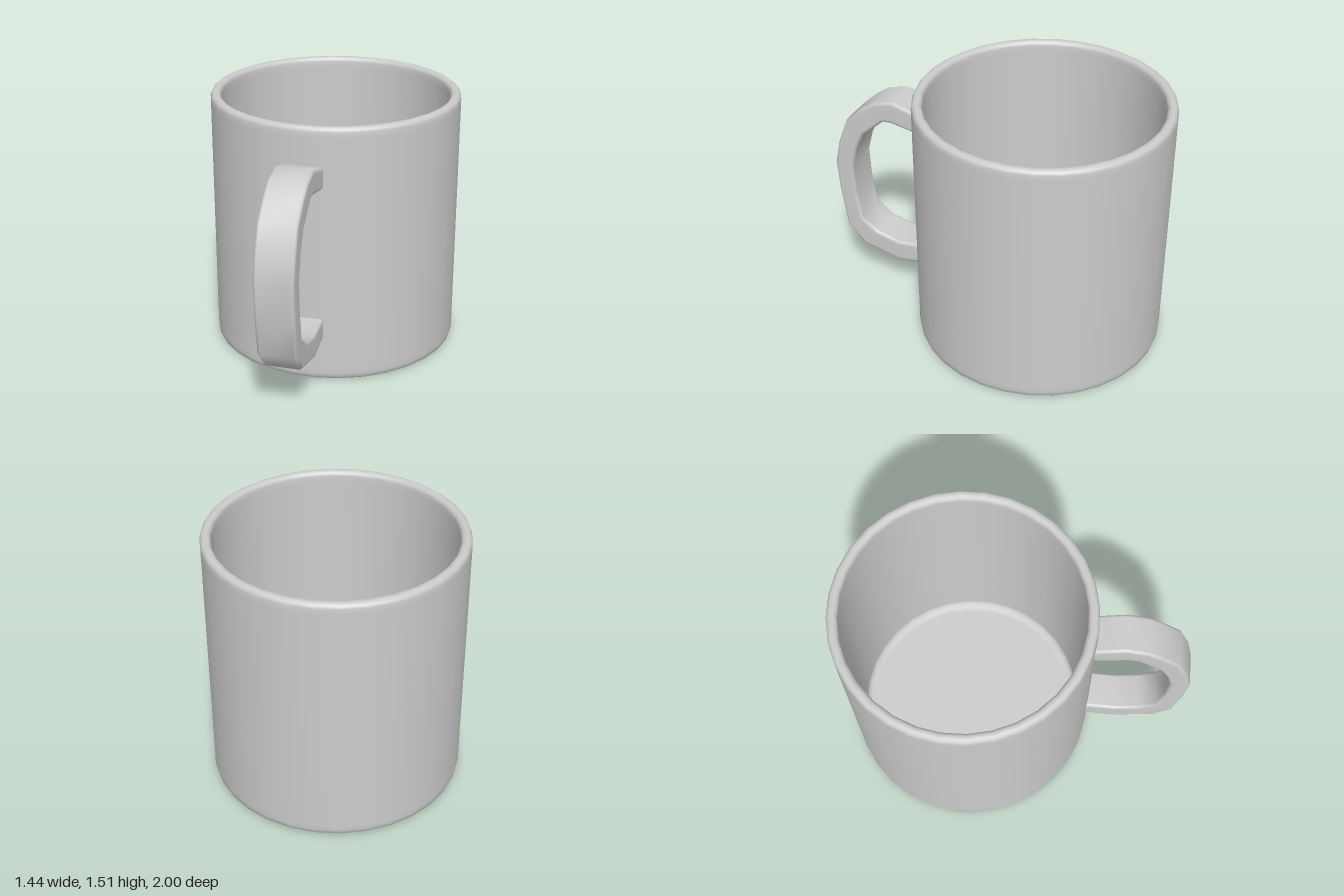
import * as THREE from 'three';

const material = new THREE.MeshStandardMaterial({ color: 0xcccccc });
const SIDES = 32;

// Hollow cup: one closed profile from the base centre, over the rim, to the inner floor
function makeCup() {
  const profile = [
    [0, 0], [0.69, 0], [0.705, 0.002], [0.718, 0.012], [0.723, 0.035], [0.723, 0.06],
    [0.723, 1.46], [0.723, 1.49], [0.717, 1.505], [0.703, 1.515], [0.682, 1.515],
    [0.668, 1.505], [0.663, 1.49], [0.663, 1.46],
    [0.663, 0.10], [0.657, 0.075], [0.635, 0.06], [0.6, 0.06], [0, 0.06],
  ].map(([r, y]) => new THREE.Vector2(r, y));
  const cup = new THREE.Mesh(new THREE.LatheGeometry(profile, SIDES, Math.PI / SIDES), material);
  cup.name = 'cup';
  cup.position.z = -0.28;
  return cup;
}

// Handle: a rounded rectangle swept through pairs of outer and inner points
function makeHandle() {
  // outer z, outer y, inner z, inner y
  const stations = [
    [0.41, 1.29, 0.41, 1.163], [0.60, 1.345, 0.62, 1.205], [0.72, 1.315, 0.67, 1.20],
    [0.80, 1.26, 0.73, 1.145], [0.91, 1.155, 0.80, 1.085], [0.97, 0.995, 0.85, 0.985],
    [1.00, 0.85, 0.885, 0.85], [0.985, 0.65, 0.877, 0.67], [0.947, 0.406, 0.845, 0.476],
    [0.85, 0.294, 0.743, 0.406], [0.60, 0.23, 0.60, 0.37], [0.41, 0.262, 0.41, 0.393],
  ];
  // Ring of [x, share of the way from the inner to the outer point]
  const half = 0.112, rx = 0.02, rt = 0.16, ring = [];
  const corners = [[1, 1], [-1, 1], [-1, 0], [1, 0]];
  corners.forEach(([sx, top], c) => {
    for (let k = 0; k <= 3; k++) {
      const a = (c + k / 3) * Math.PI / 2;
      ring.push([
        sx * (half - rx) + rx * Math.cos(a),
        (top ? 1 - rt : rt) + rt * Math.sin(a),
      ]);
    }
  });
  const n = ring.length, positions = [], indices = [];
  stations.forEach(([oz, oy, iz, iy], s) => {
    ring.forEach(([x, t], i) => {
      positions.push(x, iy + (oy - iy) * t, iz + (oz - iz) * t);
      if (s === stations.length - 1) return;
      const a = s * n + i, b = s * n + (i + 1) % n;
      indices.push(a, b, b + n, a, b + n, a + n);
    });
  });
  const geometry = new THREE.BufferGeometry();
  geometry.setAttribute('position', new THREE.Float32BufferAttribute(positions, 3));
  geometry.setIndex(indices);
  geometry.computeVertexNormals();
  const handle = new THREE.Mesh(geometry, material);
  handle.name = 'handle';
  return handle;
}

export function createModel() {
  const mug = new THREE.Group();
  mug.name = 'mug';
  mug.add(makeCup(), makeHandle());
  return mug;
}
